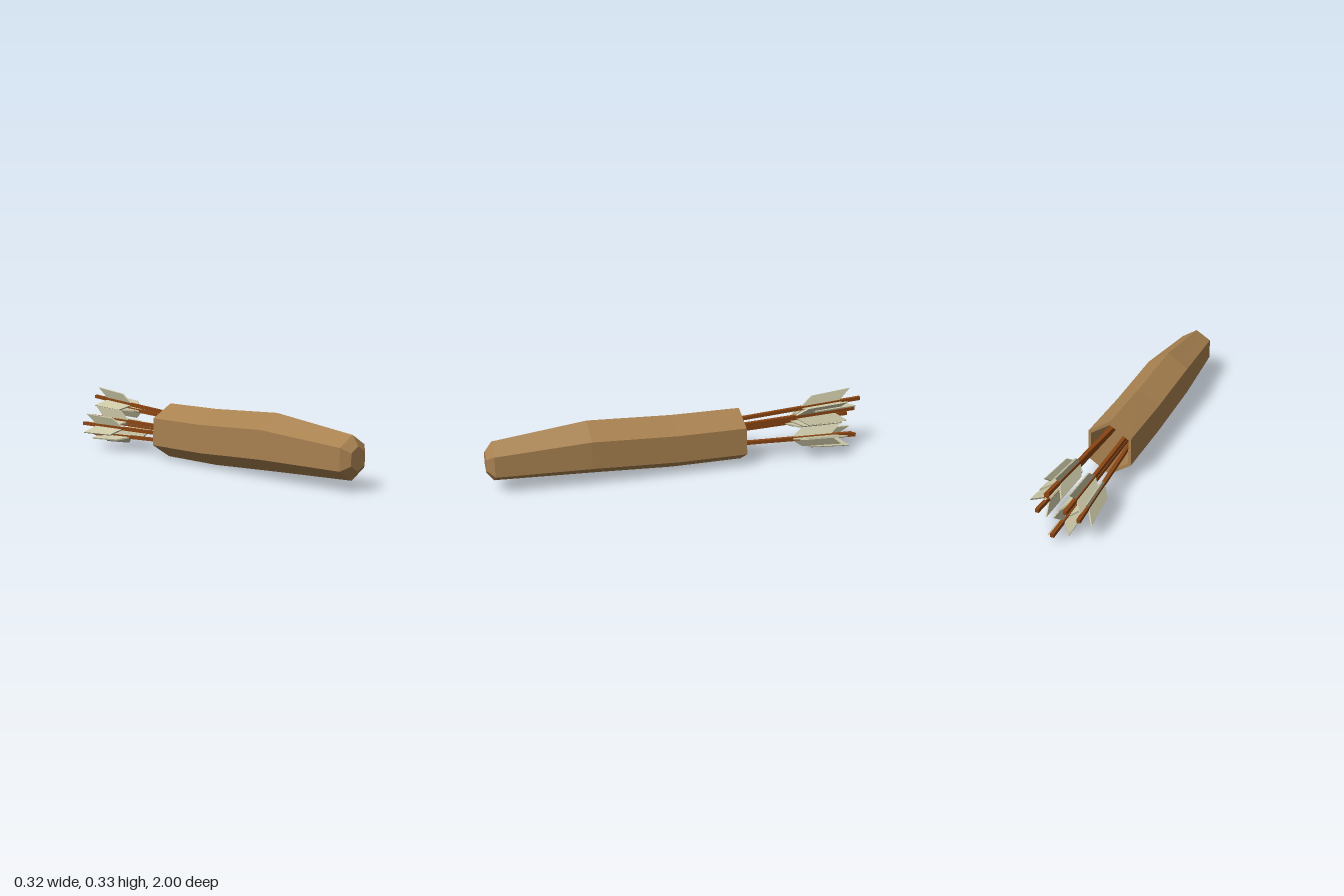
import * as THREE from 'three';

const leather = new THREE.MeshStandardMaterial({ color: 0xa88150, flatShading: true });
const wood = new THREE.MeshStandardMaterial({ color: 0x8b4513, flatShading: true });
const feather = new THREE.MeshStandardMaterial({ color: 0xc8c4a4, flatShading: true });

// Six-sided ring with pointed top and bottom, counterclockwise seen from the front
function ring({ z, top, up, lo, bot, w, tilt = 0 }, scale = 1) {
  const cy = (top + bot) / 2;
  return [[w, lo], [w, up], [0, top], [-w, up], [-w, lo], [0, bot]].map(([x, y]) =>
    [x * scale, cy + (y - cy) * scale, z + (y - cy) * tilt]);
}

// Skin consecutive rings and close both ends
function loft(rings) {
  const pos = [];
  const n = rings[0].length;
  const tri = (...p) => p.forEach((v) => pos.push(...v));
  const centre = (r) => [0, 1, 2].map((k) => r.reduce((s, p) => s + p[k], 0) / n);
  const first = rings[0], last = rings[rings.length - 1];
  for (let i = 0; i < n; i++) {
    const j = (i + 1) % n;
    tri(centre(first), first[i], first[j]);
    for (let k = 0; k < rings.length - 1; k++) {
      const a = rings[k], b = rings[k + 1];
      tri(a[i], b[i], b[j]);
      tri(a[i], b[j], a[j]);
    }
    tri(centre(last), last[j], last[i]);
  }
  const geo = new THREE.BufferGeometry();
  geo.setAttribute('position', new THREE.Float32BufferAttribute(pos, 3));
  geo.computeVertexNormals();
  return geo;
}

// Hollow quiver: outer skin from the nose to the mouth, then back along the inside
function makeQuiver() {
  const sections = [
    { z: 1.0, top: 0.213, up: 0.185, lo: 0.126, bot: 0.098, w: 0.046 },
    { z: 0.965, top: 0.261, up: 0.21, lo: 0.103, bot: 0.052, w: 0.083 },
    { z: 0.49, top: 0.315, up: 0.243, lo: 0.1, bot: 0.029, w: 0.114 },
    { z: 0.05, top: 0.294, up: 0.222, lo: 0.078, bot: 0.005, w: 0.114 },
    { z: -0.32, top: 0.291, up: 0.22, lo: 0.075, bot: 0.003, w: 0.114, tilt: 0.05 },
  ];
  const inner = [sections[4], sections[3], sections[2], { ...sections[1], z: 0.9 }];
  const mesh = new THREE.Mesh(
    loft([...sections.map((s) => ring(s)), ...inner.map((s) => ring(s, 0.87))]), leather);
  mesh.name = 'quiver';
  return mesh;
}

// Slanted feather vane: x is the distance from the shaft, y runs forward from the nock
function makeVaneGeometry() {
  const t = 0.008;
  const shape = new THREE.Shape([
    [0.004, 0.12], [0.062, 0.05], [0.055, 0.27], [0.004, 0.34],
  ].map(([x, y]) => new THREE.Vector2(x, y)));
  return new THREE.ExtrudeGeometry(shape, { depth: t, bevelEnabled: false })
    .translate(0, 0, -t / 2)
    .rotateX(Math.PI / 2);
}

// Arrow running from its nock down into the quiver, with three vanes
function makeArrow(nock, foot, angle, vaneGeo) {
  const arrow = new THREE.Group();
  arrow.name = 'arrow';
  const start = new THREE.Vector3(...nock);
  const axis = new THREE.Vector3(...foot).sub(start);
  const length = axis.length();
  arrow.position.copy(start);
  arrow.quaternion.setFromUnitVectors(new THREE.Vector3(0, 0, 1), axis.normalize());

  const shaftGeo = new THREE.CylinderGeometry(0.013, 0.013, length, 4)
    .rotateY(Math.PI / 4)
    .rotateX(Math.PI / 2)
    .translate(0, 0, length / 2);
  const shaft = new THREE.Mesh(shaftGeo, wood);
  shaft.name = 'arrowShaft';
  arrow.add(shaft);

  for (let i = 0; i < 3; i++) {
    const vane = new THREE.Mesh(vaneGeo, feather);
    vane.name = 'fletching';
    vane.rotation.z = THREE.MathUtils.degToRad(angle + i * 120);
    arrow.add(vane);
  }
  return arrow;
}

export function createModel() {
  const model = new THREE.Group();
  model.name = 'quiverWithArrows';
  model.add(makeQuiver());

  // Nock position, foot position inside the quiver, turn of the vanes
  const vaneGeo = makeVaneGeometry();
  [
    [[-0.12, 0.131, -0.945], [0, 0.14, 0.75], 107],
    [[0.1, 0.115, -0.915], [0.045, 0.145, 0.75], 14],
    [[0.003, 0.272, -0.995], [0.01, 0.17, 0.75], 105],
    [[0.033, 0.231, -0.95], [0.03, 0.165, 0.75], 60],
    [[-0.01, 0.056, -0.99], [-0.01, 0.135, 0.75], 77],
    [[-0.06, 0.166, -0.955], [-0.02, 0.165, 0.75], 90],
  ].forEach(([nock, foot, angle]) => model.add(makeArrow(nock, foot, angle, vaneGeo)));

  return model;
}
